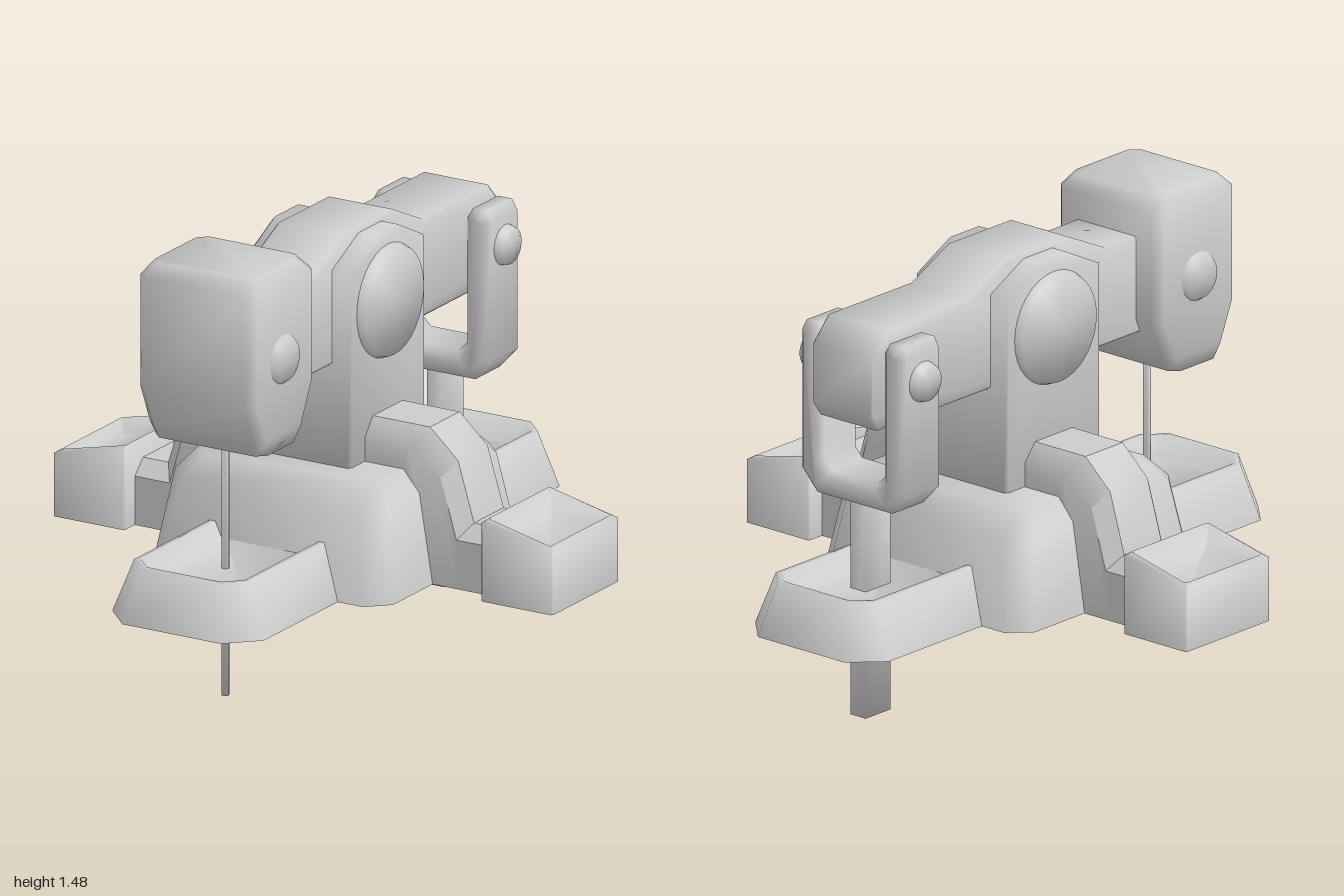
import * as THREE from 'three';
import { toCreasedNormals } from 'three/addons/utils/BufferGeometryUtils.js';

const material = new THREE.MeshStandardMaterial({ color: 0xcccccc, side: THREE.DoubleSide });

function part(name, geometry, parent, crease = 1.7) {
  const mesh = new THREE.Mesh(toCreasedNormals(geometry, crease), material);
  mesh.name = name;
  parent.add(mesh);
  return mesh;
}

// Skin over a list of equal-length loops, with optional end caps
function loft(loops, { closed = true, start = false, end = false } = {}) {
  const n = loops[0].length, index = [];
  for (let s = 0; s < loops.length - 1; s++) {
    for (let i = 0; i < (closed ? n : n - 1); i++) {
      const a = s * n + i, b = s * n + (i + 1) % n;
      index.push(a, b, b + n, a, b + n, a + n);
    }
  }
  const last = (loops.length - 1) * n;
  for (let i = 1; i < n - 1; i++) {
    if (start) index.push(0, i + 1, i);
    if (end) index.push(last, last + i, last + i + 1);
  }
  const g = new THREE.BufferGeometry();
  g.setAttribute('position', new THREE.Float32BufferAttribute(loops.flat(2), 3));
  g.setIndex(index);
  return g;
}

// Horizontal rectangle with cut corners; y may be a function of x
function rect(x0, x1, z0, z1, y, c, c0 = c) {
  const h = typeof y === 'function' ? y : () => y;
  return [[x1, z1 - c], [x1, z0 + c0], [x1 - c0, z0], [x0 + c0, z0],
    [x0, z0 + c0], [x0, z1 - c], [x0 + c, z1], [x1 - c, z1]].map(([x, z]) => [x, h(x), z]);
}

// Bevelled extrusion centred on its depth
function slab(points, depth, bevel) {
  const shape = new THREE.Shape(points.map(([x, y]) => new THREE.Vector2(x, y)));
  const g = new THREE.ExtrudeGeometry(shape, {
    depth: depth - 2 * bevel, bevelThickness: bevel, bevelSize: bevel, bevelOffset: -bevel, bevelSegments: 1,
  });
  return g.translate(0, 0, -depth / 2 + bevel);
}
// The same, with the profile given as (z, y) and the depth along x
const sideSlab = (points, width, bevel) => slab(points, width, bevel).rotateY(-Math.PI / 2);

// Pair of round caps on the left and right
function sideCaps(name, r, rim, x0, x1, y, z, parent) {
  for (const s of [1, -1]) {
    const g = new THREE.CylinderGeometry(rim, r, x1 - x0, 32);
    g.rotateZ(-s * Math.PI / 2).translate(s * (x0 + x1) / 2, y, z);
    part(name, g, parent);
  }
}

export function createModel() {
  const model = new THREE.Group();
  model.name = 'pumpMachine';

  // Hollow tapered base
  part('base', loft([
    rect(-0.45, 0.45, -0.45, 0.45, 0.3, 0.07),
    rect(-0.4, 0.4, -0.4, 0.4, 0.6, 0.07),
    rect(-0.34, 0.34, -0.34, 0.34, 0.67, 0.06),
  ], { end: true }), model);

  // Front and back trays
  for (const turn of [0, Math.PI]) {
    const tray = part('tray', loft([
      rect(-0.285, 0.285, 0.44, 1.0, 0.3, 0.1, 0.005),
      rect(-0.215, 0.215, 0.41, 0.95, 0.48, 0.07, 0.005),
      rect(-0.195, 0.195, 0.41, 0.925, 0.48, 0.055, 0.005),
      rect(-0.165, 0.165, 0.41, 0.87, 0.43, 0.03, 0.005),
    ], { end: true }), model);
    tray.rotation.y = turn;
  }

  // Side legs with chamfered top, each ending in a sloped open foot
  const top = [[0.15, 0.81], [0.41, 0.81], [0.515, 0.715], [0.575, 0.515], [0.68, 0.515]];
  const edge = [[0.15, 0.75], [0.36, 0.75], [0.48, 0.665], [0.54, 0.465], [0.68, 0.465]];
  const foot = [[0.15, 0.66], [0.34, 0.66], [0.445, 0.3], [0.54, 0.3], [0.68, 0.3]];
  const slope = (drop) => (x) => 0.58 - Math.abs(x - 0.7) * 0.25 - drop;
  for (const turn of [0, Math.PI]) {
    const side = new THREE.Group();
    side.name = 'sideLeg';
    side.rotation.y = turn;
    model.add(side);
    part('leg', loft(foot.map((f, i) => [
      [...f, -0.14], [...edge[i], -0.14], [...top[i], -0.09],
      [...top[i], 0.09], [...edge[i], 0.14], [...f, 0.14],
    ]), { closed: false }), side, 0.7);
    part('foot', loft([
      rect(0.67, 0.94, -0.203, 0.203, 0.3, 0.006),
      rect(0.67, 0.94, -0.203, 0.203, slope(0.008), 0.006),
      rect(0.685, 0.92, -0.185, 0.185, slope(0), 0.006),
      rect(0.71, 0.9, -0.16, 0.16, slope(0.05), 0.006),
    ], { end: true }), side);
  }

  // Pillar and pivot
  part('pillar', sideSlab([[-0.23, 0.65], [0.23, 0.65], [0.23, 1.33], [0.07, 1.41], [-0.07, 1.41], [-0.23, 1.33]],
    0.39, 0.01), model);
  sideCaps('pivotCap', 0.195, 0.18, 0.18, 0.22, 1.175, 0, model);

  // Rocking beam with central hump
  part('beam', sideSlab([[0.55, 1.01], [0.55, 1.34], [0.33, 1.34], [0.15, 1.425], [-0.15, 1.425], [-0.33, 1.34],
    [-0.73, 1.34], [-0.805, 1.26], [-0.805, 1.06], [-0.77, 1.01]].reverse(), 0.255, 0.008), model);

  // Front head and thin rod
  part('head', loft([
    rect(-0.21, 0.21, 0.57, 0.785, 0.87, 0.03),
    rect(-0.22, 0.22, 0.54, 0.807, 0.92, 0.03),
    rect(-0.22, 0.22, 0.475, 0.865, 1.055, 0.03),
    rect(-0.22, 0.22, 0.475, 0.865, 1.43, 0.03),
    rect(-0.19, 0.19, 0.515, 0.825, 1.475, 0.03),
  ], { start: true, end: true }), model);
  sideCaps('headBolt', 0.095, 0.07, 0.2, 0.237, 1.175, 0.673, model);
  part('thinRod', new THREE.CylinderGeometry(0.013, 0.013, 0.95, 8).translate(0, 0.475, 0.673), model);

  // Rear fork and thick rod
  const half = [[0.16, 0.73], [0.225, 0.8], [0.225, 1.27], [0.205, 1.305], [0.15, 1.305], [0.13, 1.27], [0.13, 0.85], [0.1, 0.82]];
  const fork = [...half, ...half.map(([x, y]) => [-x, y]).reverse()];
  part('fork', slab(fork, 0.2, 0.025).translate(0, 0, -0.665), model);
  sideCaps('forkBolt', 0.075, 0.06, 0.2, 0.25, 1.175, -0.665, model);
  part('thickRod', new THREE.BoxGeometry(0.064, 0.76, 0.12).translate(0, 0.38, -0.665), model);

  return model;
}
